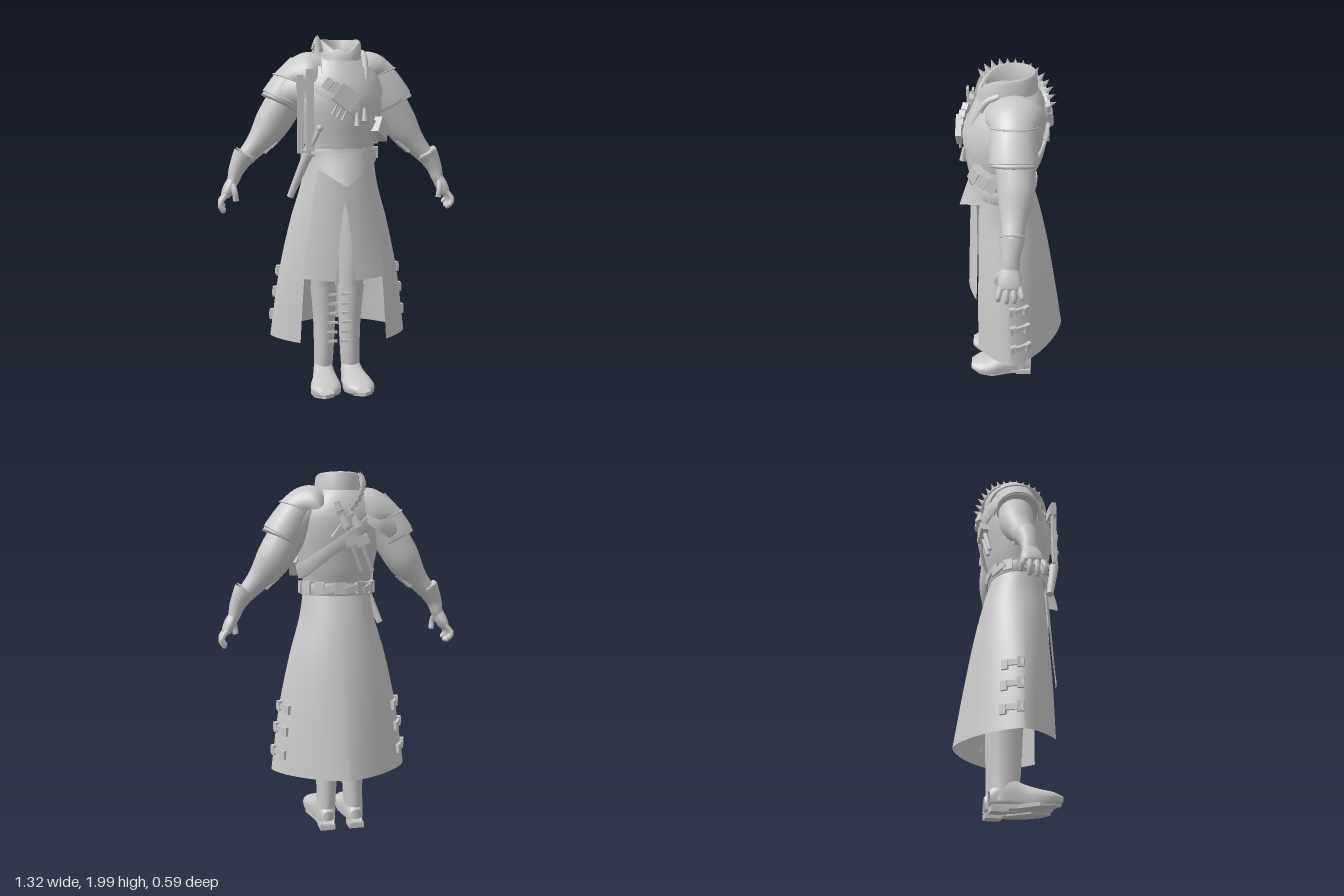
import * as THREE from 'three';

const V = (x, y, z) => new THREE.Vector3(x, y, z);
const cloth = new THREE.MeshStandardMaterial({ color: 0xc8c8c8, side: THREE.DoubleSide });
cloth.name = 'plainGrey';

// Smooth interpolation of rows [key, a, b, ...] by their first number
function profile(rows) {
  const n = rows[0].length - 1;
  const it = new THREE.CubicInterpolant(rows.map(r => r[0]), rows.flatMap(r => r.slice(1)), n, new Float32Array(n));
  return k => [...it.evaluate(k)];
}
// Grid surface from f(u, v) -> Vector3; closed joins the v ends
function grid(f, nu, nv, closed = false) {
  const pos = [], idx = [], w = closed ? nv : nv + 1;
  for (let i = 0; i <= nu; i++) for (let j = 0; j < w; j++) pos.push(...f(i / nu, j / nv).toArray());
  for (let i = 0; i < nu; i++) for (let j = 0; j < nv; j++) {
    const a = i * w + j, b = i * w + (j + 1) % w, c = a + w, d = b + w;
    idx.push(a, c, b, b, c, d);
  }
  const g = new THREE.BufferGeometry();
  g.setAttribute('position', new THREE.Float32BufferAttribute(pos, 3));
  g.setIndex(idx);
  g.computeVertexNormals();
  return g;
}
// Limb around a path in the xy plane: rows [x, y, z, radius, depthRadius]
function limb(rows, nu = 18, nv = 20) {
  const p = profile(rows.map((r, i) => [i, ...r])), n = rows.length - 1;
  return grid((u, v) => {
    const k = u * n, [x, y, z, a, b] = p(k), q = p(Math.min(n, k + 0.01)), o = p(Math.max(0, k - 0.01));
    const d = V(q[0] - o[0], q[1] - o[1], 0).normalize(), t = v * Math.PI * 2;
    return V(x - d.y * a * Math.cos(t), y + d.x * a * Math.cos(t), z + b * Math.sin(t));
  }, nu, nv, true);
}
// Point on a body section: rows [y, halfWidth, zFront, zBack, squareness (2 = oval)]
const bend = (c, n) => Math.sign(c) * Math.abs(c) ** (2 / n);
function surf(p, y, t, off = 0) {
  const [rx, zf, zb, n] = p(y);
  return V((rx + off) * bend(Math.cos(t), n), y, (zf + zb) / 2 + ((zf - zb) / 2 + off) * bend(Math.sin(t), n));
}
const torso = profile([[1.26, .19, .2, -.115, 2], [1.36, .183, .2, -.1, 2], [1.45, .2, .21, -.125, 2], [1.55, .222, .225, -.145, 2],
  [1.65, .235, .23, -.165, 2], [1.75, .225, .205, -.175, 2], [1.82, .19, .175, -.16, 2], [1.88, .13, .15, -.13, 2], [1.91, .1, .13, -.1, 2]]);
const skirt = profile([[.345, .385, .3, -.298, 1.5], [.7, .335, .275, -.243, 1.62], [1, .268, .245, -.19, 1.8], [1.2, .21, .23, -.145, 1.95], [1.34, .188, .205, -.105, 2]]);
function chestZ(x, y, off) {
  const [rx, zf, zb] = torso(y), s = Math.min(.97, Math.abs(x) / rx);
  return (zf + zb) / 2 + (zf - zb) / 2 * Math.sqrt(1 - s * s) + off;
}

export function createModel() {
  const root = new THREE.Group();
  root.name = 'coatedFigure';
  const add = (name, geo, parent = root) => {
    const m = new THREE.Mesh(geo, cloth);
    m.name = name;
    parent.add(m);
    return m;
  };
  const box = (name, w, h, d, x, y, z, parent) => {
    const m = add(name, new THREE.BoxGeometry(w, h, d), parent);
    m.position.set(x, y, z);
    return m;
  };
  const rod = (name, a, b, r0, r1) => {
    const m = add(name, new THREE.CylinderGeometry(r1, r0, a.distanceTo(b), 12));
    m.position.copy(a).lerp(b, .5);
    m.quaternion.setFromUnitVectors(V(0, 1, 0), b.clone().sub(a).normalize());
    return m;
  };
  // Box lying on a body surface, turned to face outward and rolled
  const onBody = (name, p, y, t, w, h, d, off = .02, roll = 0) => {
    const s = surf(p, y, t, off), a = surf(p, y, t - .03), b = surf(p, y, t + .03), m = box(name, w, h, d, s.x, s.y, s.z);
    m.rotation.set(0, Math.atan2(b.z - a.z, a.x - b.x), roll, 'YXZ');
    return m;
  };
  const TAU = Math.PI * 2;

  // Torso, neck and collar
  add('torso', grid((u, v) => surf(torso, 1.26 + u * .65, v * TAU), 22, 36, true));
  const neck = add('neckCap', new THREE.CircleGeometry(1, 28));
  neck.scale.set(.1, .13, 1);
  neck.rotation.x = -Math.PI / 2;
  neck.position.set(0, 1.885, .025);
  const ring = [[.13, 0], [.125, .5], [.118, .93], [.108, 1], [.094, .97], [.088, .5], [.09, 0]];
  add('collar', grid((u, v) => {
    const [r, h] = ring[Math.round(u * 6)], t = v * TAU, f = (1 + Math.sin(t)) / 2;
    const top = 1.98 - .015 * f - .075 * f ** 5;
    return V(r * Math.cos(t), 1.83 + (top - 1.83) * h, .024 + (r + .026) * Math.sin(t));
  }, 6, 36, true));
  add('collarFlap', new THREE.TubeGeometry(new THREE.CatmullRomCurve3([V(.122, 1.9, .06), V(.122, 1.87, .12), V(.12, 1.8, .165), V(.115, 1.75, .19)]), 14, .016, 8));

  // Chest panels and lapels
  const panel = (name, y0, y1, edges, off) => add(name, grid((u, v) => {
    const y = y0 + (y1 - y0) * u, [a, b] = edges(u), x = a + (b - a) * v;
    return V(x, y, chestZ(x, y, off));
  }, 14, 8));
  panel('chestPlate', 1.35, 1.85, u => [-.06 - .02 * u, .06 + .02 * u], .012);
  panel('lapelLeft', 1.4, 1.82, u => [.075, .1 + .16 * Math.min(1, u * 1.15)], .024);
  panel('lapelRight', 1.4, 1.82, u => [-.075, -.1 - .13 * u], .02);

  // Coat skirt with open front, buckled straps on both hems
  add('coatSkirt', grid((u, v) => surf(skirt, .345 + u * .995, Math.PI * (.255 - v * 1.51)), 22, 64));
  for (const side of [0, Math.PI]) for (const y of [.71, .59, .46]) {
    const dir = side ? 1 : -1;
    onBody('hemStrap', skirt, y, side + dir * .28, .11, .03, .014, .006);
    onBody('hemBuckle', skirt, y, side + dir * .13, .035, .055, .022, .006);
    onBody('hemBuckle', skirt, y - .01, side + dir * .45, .035, .05, .022, .008);
  }

  // Sides that mirror: tabard halves, legs, boots, arms
  for (const s of [1, -1]) {
    const half = new THREE.Group();
    half.name = s > 0 ? 'leftSide' : 'rightSide';
    half.scale.x = s;
    root.add(half);
    add('tabard', grid((u, v) => {
      const y = 1.3 - u * .6 + .02 * u * (1 - v);
      const a = u < .32 ? 0 : .055 * Math.pow((u - .32) / .68, .7), b = .135 + .09 * u, x = a + (b - a) * v;
      return V(x, y - .03 * u * (1 - v), .222 + .03 * u - x * x * (2.1 - 1.0 * u));
    }, 18, 8), half);
    add('trouserLeg', limb([[.08, .58, -.02, .065, .085], [.085, .85, 0, .08, .11], [.09, 1.2, .03, .09, .12]]), half);
    add('bootShaft', limb([[.085, .05, -.04, .05, .068], [.077, .2, -.032, .055, .078], [.074, .42, -.028, .063, .088], [.08, .62, -.02, .074, .098]]), half);
    const foot = profile([[-.118, .08, .035, .03, .11], [-.04, .08, .055, .025, .18], [.05, .084, .067, .02, .148],
      [.13, .091, .084, .025, .122], [.2, .096, .077, .036, .108], [.25, .1, .04, .055, .09]]);
    add('bootFoot', grid((u, v) => {
      const z = -.118 + u * .368, [cx, rx, lo, hi] = foot(z), t = v * TAU, c = Math.cos(t), q = Math.sin(t);
      return V(cx + rx * bend(c, 2.5), (lo + hi) / 2 + (hi - lo) / 2 * bend(q, q < 0 ? 5 : 2), z);
    }, 16, 24, true), half);
    const outline = [[-.02, .115], [.03, .11], [.045, -.02], [.08, -.12], [.07, -.2], [.02, -.245], [-.03, -.22], [-.074, -.12], [-.04, 0], [-.04, .1]];
    const sole = new THREE.ExtrudeGeometry(new THREE.Shape(outline.map(([x, y]) => new THREE.Vector2(x + .091, y))), { depth: .02, bevelEnabled: false });
    sole.rotateX(-Math.PI / 2);
    const sp = sole.attributes.position;
    for (let i = 0; i < sp.count; i++) sp.setY(i, sp.getY(i) + .014 + .1 * Math.max(0, sp.getZ(i)));
    sole.computeVertexNormals();
    add('bootSole', sole, half);
    box('bootHeel', .085, .03, .09, .083, .015, -.07, half);
    for (let i = 0; i < 6; i++) box('bootStrap', .06, .014, .012, .04, .3 + i * .055, .05 + i * .003, half);

    add('upperSleeve', limb([[.17, 1.78, -.01, .09, .1], [.26, 1.68, -.018, .1, .098], [.345, 1.545, -.026, .098, .094],
      [.39, 1.475, -.024, .086, .084], [.448, 1.405, -.016, .062, .064], [.53, 1.315, -.01, .044, .05]], 26), half);
    add('capeSleeve', limb([[.19, 1.83, -.01, .08, .1], [.25, 1.74, -.01, .102, .113], [.312, 1.64, -.012, .112, .12], [.31, 1.645, -.012, .1, .108]]), half);
    add('gloveCuff', limb([[.513, 1.353, -.008, .05, .056], [.51, 1.356, -.008, .064, .064], [.53, 1.325, -.008, .055, .057], [.558, 1.27, -.004, .042, .046], [.572, 1.225, -.002, .034, .045], [.582, 1.2, 0, .03, .045]], 25), half);
    add('palm', limb([[.575, 1.22, 0, .03, .042], [.598, 1.175, 0, .033, .058], [.618, 1.135, 0, .026, .058], [.624, 1.12, 0, .01, .05]]), half);
    for (let i = 0; i < 4; i++) {
      const z = .048 - i * .033, dy = [.004, -.01, -.006, .012][i];
      const path = new THREE.CatmullRomCurve3([V(.613, 1.145, z * .9), V(.64, 1.11, z * 1.1), V(.646, 1.085 + dy, z * 1.2), V(.632, 1.062 + dy, z * 1.2)]);
      add('finger', new THREE.TubeGeometry(path, 8, .014, 8), half);
      add('fingerTip', new THREE.SphereGeometry(.014, 8, 6), half).position.copy(path.getPoint(1));
    }
    add('thumb', new THREE.TubeGeometry(new THREE.CatmullRomCurve3([V(.58, 1.2, .03), V(.57, 1.16, .062), V(.564, 1.11, .062)]), 8, .016, 8), half);
    // Small buckles under the forearm
    for (let i = 0; i < 2; i++) box('sleeveBuckle', .045, .02, .07, .355 + i * .035, 1.41 - i * .03, -.015, half).rotation.z = -.75;
  }

  // Shoulder guards: rows [x, top y, zFront, zBack, drop]; the outer edge sweeps inward as it falls
  const guard = (name, rows, s, sweep) => {
    const p = profile(rows), x0 = rows[0][0], x1 = rows.at(-1)[0];
    const at = (u, v) => {
      const x = x0 + (x1 - x0) * u, [y, f, b, d] = p(x), t = v * Math.PI, k = 1 - Math.sin(t);
      return V(s * (x - sweep * u * k), y - d * k, (f + b) / 2 + (f - b) / 2 * Math.cos(t));
    };
    add(name, grid(at, 12, 20));
    const rim = Array.from({ length: 13 }, (_, i) => at(1, i / 12));
    add(name + 'Rim', new THREE.TubeGeometry(new THREE.CatmullRomCurve3(rim), 24, .005, 6));
  };
  guard('leftShoulderGuard', [[.09, 1.895, .1, -.11, .07], [.16, 1.912, .13, -.165, .12], [.24, 1.89, .127, -.155, .11], [.32, 1.825, .105, -.13, .045]], 1, .12);
  guard('rightShoulderGuard', [[.11, 1.9, .15, -.17, .13], [.19, 1.9, .19, -.175, .16], [.28, 1.85, .175, -.165, .12], [.35, 1.785, .145, -.15, .05]], -1, .12);
  guard('rightShoulderUnderGuard', [[.12, 1.84, .17, -.175, .13], [.24, 1.82, .175, -.175, .15], [.33, 1.755, .15, -.155, .11], [.385, 1.69, .12, -.135, .06]], -1, .13);

  // Toothed crest over the right shoulder and down the back
  const crest = new THREE.CatmullRomCurve3([V(-.115, 1.78, .19), V(-.118, 1.88, .16), V(-.12, 1.935, .1), V(-.12, 1.945, 0), V(-.115, 1.915, -.1), V(-.08, 1.84, -.165), V(0, 1.74, -.182), V(.07, 1.64, -.167)]);
  const out = p => V(0, p.y - 1.72, p.z * .9).normalize();
  add('crestBand', grid((u, v) => {
    const p = crest.getPointAt(u);
    return p.addScaledVector(out(p), (v - .8) * .05);
  }, 40, 1));
  for (let i = 0; i < 14; i++) {
    const p = crest.getPointAt(.17 + i * .046), d = out(p);
    const m = add('crestTooth', new THREE.ConeGeometry(.018, .045, 4));
    m.quaternion.setFromUnitVectors(V(0, 1, 0), d);
    m.position.copy(p).addScaledVector(d, .022);
  }

  // Waist belt, pointed front plate and belt pouches
  const belt = [[1.325, 0], [1.325, .018], [1.39, .018], [1.39, 0]];
  add('waistBelt', grid((u, v) => { const [y, o] = belt[Math.round(u * 3)]; return surf(torso, y, v * TAU, o); }, 3, 40, true));
  add('beltPoint', grid((u, v) => {
    const x = (v - .5) * .38, low = 1.195 + Math.abs(x) * .65, y = 1.375 + (low - 1.375) * u;
    return V(x, y, chestZ(x, Math.max(1.27, y), .028) + .06 * u * (1 - Math.abs(x) / .19));
  }, 8, 24));
  for (const t of [-.05, -.5, -.95, -1.5, -2.1, -2.6, -3.05])
    onBody('beltPouch', torso, 1.365, t, .055, .065, .03, .014);
  for (const t of [-1.2, -1.8, -2.35]) onBody('beltRoll', torso, 1.36, t, .07, .035, .03, .018, .3);

  // Slanted bandolier with pouches, vials and tags
  const bandY = t => 1.62 - .17 * Math.cos(t);
  const strap = [[-.038, .004], [-.038, .022], [.038, .022], [.038, .004]];
  add('bandolier', grid((u, v) => {
    const [dy, off] = strap[Math.round(u * 3)];
    return surf(torso, bandY(v * TAU) + dy, v * TAU, off);
  }, 3, 48, true));
  for (const t of [.25, .47, .69]) onBody('bandolierPouch', torso, bandY(t) + .02, t, .055, .085, .045, .036, -.5);
  onBody('chestPouch', torso, 1.655, 1.58, .12, .1, .03, .04, -.65);
  for (let i = 0; i < 3; i++) {
    onBody('chestVial', torso, 1.725 - i * .022, 1.92 - i * .15, .04, .06, .032, .038, -.65);
    rod('chestSpike', V(-.05 + i * .025, 1.62 - i * .015, .27), V(-.075 + i * .025, 1.57 - i * .015, .27), .004, .008);
  }
  for (const [x, y] of [[.06, 1.545], [.1, 1.57]]) rod('chestTag', V(x, y - .035, .25), V(x, y + .035, .24), .016, .008);

  // Hanging strips at the right chest and sheathed blade at the right hip
  box('hangingStrip', .035, .4, .012, -.232, 1.57, .21);
  box('hangingStrip', .04, .42, .012, -.185, 1.59, .235);
  box('stripClasp', .085, .06, .04, -.21, 1.715, .21);
  rod('bladeSheath', V(-.285, 1.14, .17), V(-.195, 1.37, .22), .018, .027);
  rod('bladeGrip', V(-.195, 1.37, .22), V(-.14, 1.495, .25), .012, .012);
  add('bladePommel', new THREE.SphereGeometry(.018, 10, 8)).position.set(-.138, 1.5, .25);
  rod('bladeGuard', V(-.225, 1.385, .22), V(-.16, 1.36, .22), .01, .01);

  // Sheathed tools on the upper back
  for (const dx of [0, -.06]) {
    rod('backTool', V(.03 + dx, 1.78 + dx * .3, -.182), V(-.1 + dx, 1.46, -.14), .02, .01);
    rod('backToolHandle', V(.045 + dx, 1.82 + dx * .3, -.175), V(-.01 + dx, 1.69, -.185), .014, .026);
    box('backToolLoop', .07, .05, .045, -.035 + dx, 1.62, -.168).rotation.z = -.4;
  }
  return root;
}
